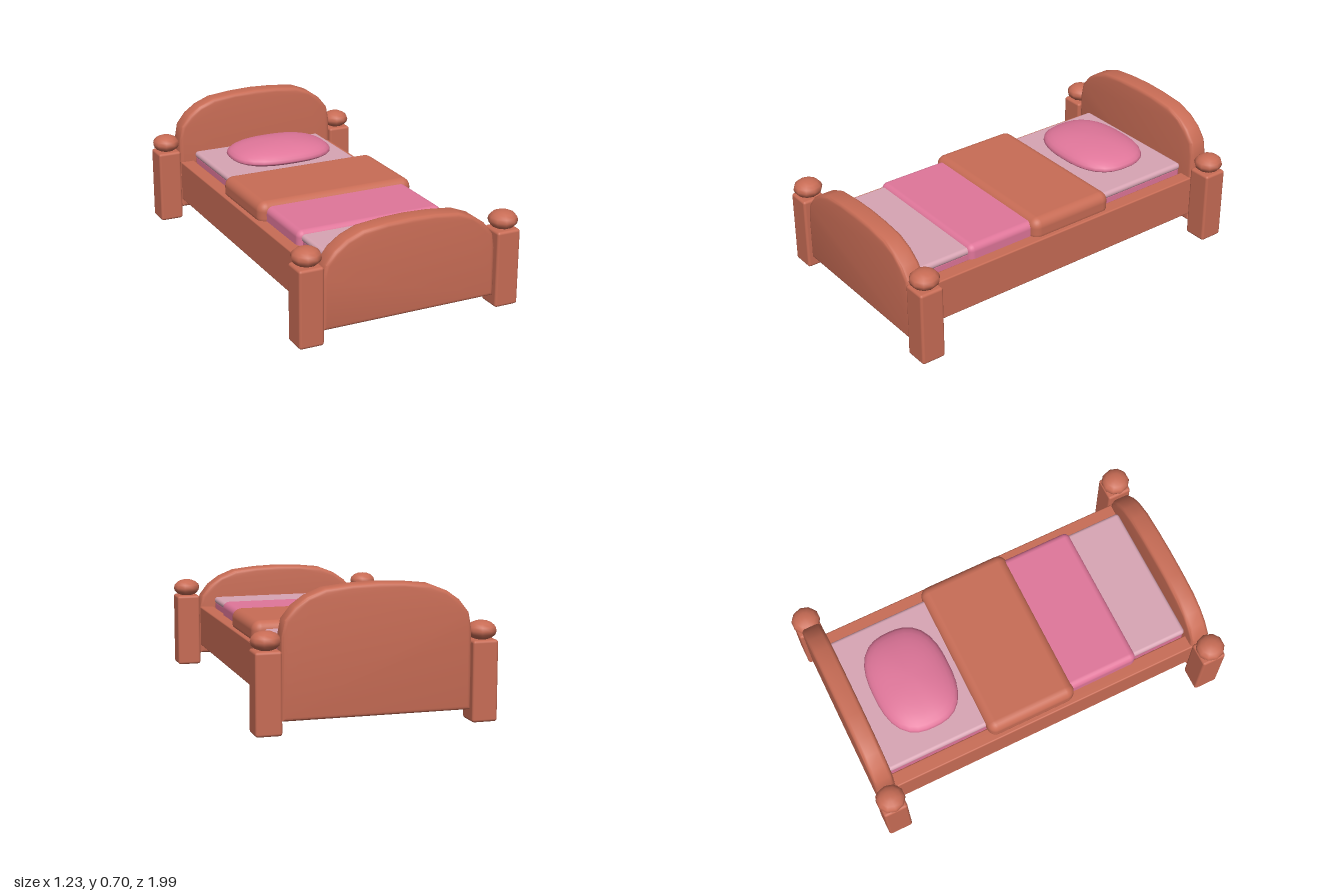
import * as THREE from 'three';
import { mergeVertices, toCreasedNormals } from 'three/addons/utils/BufferGeometryUtils.js';
import { RoundedBoxGeometry } from 'three/addons/geometries/RoundedBoxGeometry.js';

const material = (name, color) => {
  const m = new THREE.MeshStandardMaterial({ color });
  m.name = name;
  return m;
};

export function createModel() {
  const wood = material('terracotta wood', 0xc86c55);
  const pink = material('rose pink', 0xe0769a);
  const pale = material('pale pink', 0xd8a5b4);
  const bed = new THREE.Group();
  bed.name = 'bed';

  const add = (name, geometry, mat, x = 0, y = 0, z = 0) => {
    const mesh = new THREE.Mesh(geometry, mat);
    mesh.name = name;
    mesh.position.set(x, y, z);
    bed.add(mesh);
    return mesh;
  };

  // Rounded box given by its limits on each axis
  const block = (name, mat, [x0, x1], [y0, y1], [z0, z1], radius, segments = 3) =>
    add(name, new RoundedBoxGeometry(x1 - x0, y1 - y0, z1 - z0, segments, radius), mat,
      (x0 + x1) / 2, (y0 + y1) / 2, (z0 + z1) / 2);

  // Corner posts with flattened ball finials
  for (const [end, z] of [['front', 0.925], ['back', -0.923]]) {
    for (const [side, x] of [['Left', 0.538], ['Right', -0.538]]) {
      block(`${end}${side}Post`, wood, [x - 0.065, x + 0.065], [0.003, 0.405], [z - 0.066, z + 0.066], 0.014, 2);
      const finial = new THREE.SphereGeometry(1, 10, 8);
      finial.scale(0.075, 0.048, 0.077);
      add(`${end}${side}Finial`, finial, wood, x, 0.447, z);
    }
  }

  // Arched end boards share one outline, hung from the top of the arch
  const arch = [[0.471, -0.235], [0.457, -0.16], [0.408, -0.098], [0.345, -0.053], [0.26, -0.019], [0.13, -0.005]];
  const endBoard = (name, top, z) => {
    const half = [[0.472, 0.065], ...arch.map(([x, y]) => [x, top + y])];
    const mirrored = half.map(([x, y]) => [-x, y]).reverse();
    const outline = [...half, [0, top], ...mirrored].map(([x, y]) => new THREE.Vector2(x, y));
    const bevel = 0.02;
    const depth = 0.105 - 2 * bevel;
    const geometry = new THREE.ExtrudeGeometry(new THREE.Shape(outline), {
      depth, bevelEnabled: true, bevelSize: bevel, bevelThickness: bevel, bevelOffset: -bevel, bevelSegments: 3,
    });
    geometry.translate(0, 0, -depth / 2);
    add(name, toCreasedNormals(geometry, 0.65), wood, 0, 0, z);
  };
  endBoard('headboard', 0.703, -0.918);
  endBoard('footboard', 0.559, 0.919);

  // Side rails and the base between them
  block('leftRail', wood, [0.39, 0.468], [0.11, 0.337], [-0.88, 0.88], 0.008, 2);
  block('rightRail', wood, [-0.468, -0.39], [0.11, 0.337], [-0.88, 0.88], 0.008, 2);
  add('base', new THREE.BoxGeometry(0.8, 0.14, 1.76), wood, 0, 0.182, 0);

  // Mattress and bedding
  block('mattress', pink, [-0.383, 0.383], [0.25, 0.375], [-0.866, 0.866], 0.02);
  block('sheet', pale, [-0.388, 0.388], [0.355, 0.394], [-0.867, 0.866], 0.019);
  block('blanket', pink, [-0.408, 0.408], [0.3, 0.412], [0.1, 0.566], 0.035);
  block('throw', wood, [-0.446, 0.446], [0.3, 0.434], [-0.312, 0.189], 0.05, 4);

  // Pillow: a sphere squared off in plan and flattened underneath
  const pillow = new THREE.SphereGeometry(1, 32, 16);
  pillow.deleteAttribute('uv');
  pillow.deleteAttribute('normal');
  const p = pillow.attributes.position;
  const n = 2.6;
  for (let i = 0; i < p.count; i++) {
    const x = p.getX(i), y = p.getY(i), z = p.getZ(i);
    const r = Math.hypot(x, z);
    const s = r > 1e-6 ? r / (Math.abs(x) ** n + Math.abs(z) ** n) ** (1 / n) : 1;
    p.setXYZ(i, x * s * 0.291, y * (y > 0 ? 0.073 : 0.042), z * s * 0.214);
  }
  const smoothPillow = mergeVertices(pillow, 1e-5);
  smoothPillow.computeVertexNormals();
  add('pillow', smoothPillow, pink, 0, 0.433, -0.56);

  return bed;
}
